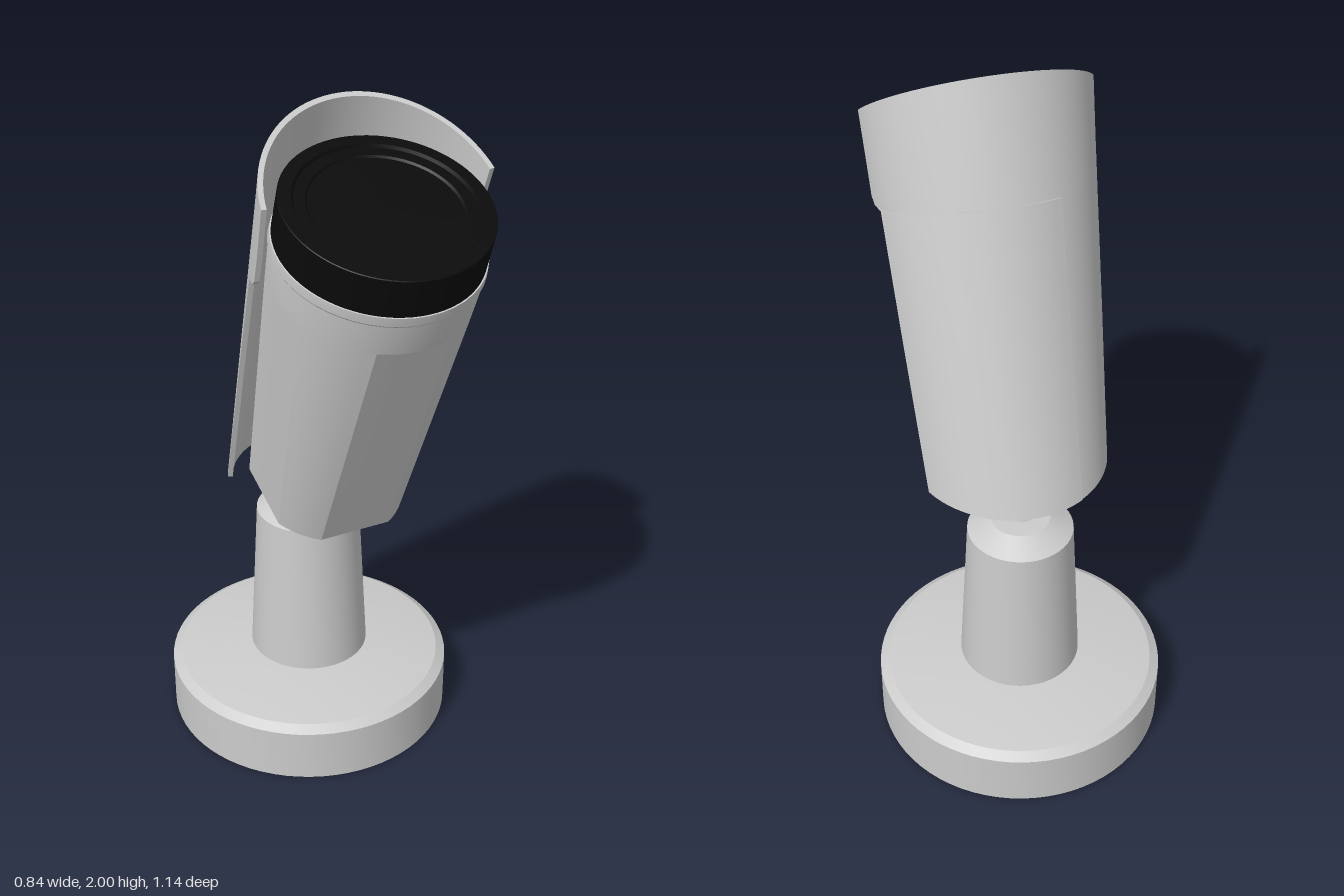
import * as THREE from 'three';
import { toCreasedNormals } from 'three/addons/utils/BufferGeometryUtils.js';

const grey = new THREE.MeshStandardMaterial({ color: 0xcccccc });
const black = new THREE.MeshStandardMaterial({ color: 0x0b0b0b });

function addMesh(parent, name, geometry, material = grey) {
  const mesh = new THREE.Mesh(toCreasedNormals(geometry, 0.3), material);
  mesh.name = name;
  parent.add(mesh);
  return mesh;
}

// Solid of revolution, profile listed from bottom to top
function lathe(profile, segments = 72) {
  return new THREE.LatheGeometry(profile.map(([r, y]) => new THREE.Vector2(r, y)), segments);
}

// Closed loops (counter-clockwise from above) joined from top to bottom, capped at both ends
function loft(rings) {
  const n = rings[0].length;
  const last = (rings.length - 1) * n;
  const index = [];
  for (let r = 0; r < rings.length - 1; r++) {
    for (let i = 0; i < n; i++) {
      const j = (i + 1) % n;
      const a = r * n + i, d = r * n + j;
      index.push(a, a + n, d + n, a, d + n, d);
    }
  }
  for (let i = 0; i < n / 2 - 1; i++) {
    const a = i, b = i + 1, c = n - 2 - i, d = n - 1 - i;
    index.push(a, b, c, a, c, d);
    index.push(last + a, last + c, last + b, last + a, last + d, last + c);
  }
  const geometry = new THREE.BufferGeometry();
  geometry.setAttribute('position', new THREE.Float32BufferAttribute(rings.flat(2), 3));
  geometry.setIndex(index);
  return geometry;
}

// Round housing section, with the four sides optionally cut flat
function housingRing(s, radius, flat) {
  const points = [];
  const half = Math.asin(0.105 / radius);
  const chord = radius * Math.cos(half);
  for (let q = 0; q < 4; q++) {
    const mid = q * Math.PI / 2;
    for (let i = 0; i < 6; i++) {
      const a = -half + (2 * half * i) / 6;
      const r = flat ? chord / Math.cos(a) : radius;
      points.push([r * Math.sin(mid + a), -s, r * Math.cos(mid + a)]);
    }
    for (let i = 0; i < 6; i++) {
      const a = mid + half + ((Math.PI / 2 - 2 * half) * i) / 6;
      points.push([radius * Math.sin(a), -s, radius * Math.cos(a)]);
    }
  }
  return points;
}

// Curved sheet behind the housing; each row gives s(z), its half angle and its radii
function shell(rows, steps) {
  return loft(rows.map(({ s, half, outer, inner }) => {
    const point = (radius, i) => {
      const a = half * (1 - (2 * i) / steps);
      const z = -radius * Math.cos(a);
      return [radius * Math.sin(a), -s(z), z];
    };
    const ring = [];
    for (let i = 0; i <= steps; i++) ring.push(point(outer, i));
    for (let i = steps; i >= 0; i--) ring.push(point(inner, i));
    return ring;
  }));
}

export function createModel() {
  const model = new THREE.Group();
  model.name = 'securityCamera';

  // Round foot and tapered post
  const stand = new THREE.Group();
  stand.name = 'stand';
  stand.position.z = -0.148;
  model.add(stand);
  addMesh(stand, 'base', lathe([[0, 0], [0.422, 0], [0.422, 0.16], [0.395, 0.178], [0.175, 0.21], [0, 0.21]]));
  addMesh(stand, 'post', lathe([[0, 0.2], [0.177, 0.2], [0.152, 0.685], [0.085, 0.722], [0, 0.725]], 48));

  // Tilted head; the origin is the middle of the lens face and s runs down its axis
  const head = new THREE.Group();
  head.name = 'head';
  head.position.set(0, 1.8, 0.315);
  head.rotation.x = 0.34;
  model.add(head);

  // Housing with a rim and four flat sides
  addMesh(head, 'housing', loft([
    housingRing(0.115, 0.274, false),
    housingRing(0.14, 0.276, false),
    housingRing(0.145, 0.273, false),
    housingRing(0.24, 0.268, false),
    housingRing(0.242, 0.268, true),
    housingRing(1.02, 0.222, true),
  ]));

  // Dark lens cap with stepped rings
  addMesh(head, 'lensCap', lathe([
    [0, -0.12], [0.27, -0.12], [0.27, -0.002], [0.268, 0], [0.235, 0], [0.23, -0.008],
    [0.2, -0.008], [0.195, -0.013], [0, -0.013],
  ]), black);

  // Sun shield, wider at the top, sloping top edge and level bottom edge
  const radiusAt = (s) => 0.318 - 0.035 * s;
  const topCut = (z) => -0.017 + 0.291 * (z + 0.043);
  const bottomCut = (z) => 0.997 - 0.354 * z;
  const row = (level, edge, s = () => level) => {
    const outer = radiusAt(level);
    return { s, half: Math.acos(edge / outer), outer, inner: outer - 0.014 };
  };
  addMesh(head, 'sunShield', shell([
    row(-0.06, 0.043, topCut),
    row(0.12, 0.04),
    row(0.21, 0.04),
    row(0.232, 0.055),
    row(0.245, 0.088),
    row(0.6, 0.097),
    row(1.06, 0.108, bottomCut),
  ], 48));

  // Slightly raised plate on the back of the shield
  const plateRow = (level, rise, s = () => level) => {
    const outer = radiusAt(level) + rise;
    return { s, half: Math.asin(0.138 / outer), outer, inner: outer - rise - 0.006 };
  };
  addMesh(head, 'backPlate', shell([
    plateRow(0.235, 0.008),
    plateRow(1.06, 0.002, bottomCut),
  ], 16));

  // Swivel collar and pin joining the head to the post
  const swivel = new THREE.Group();
  swivel.name = 'swivel';
  swivel.position.z = -0.035;
  head.add(swivel);
  addMesh(swivel, 'collar', lathe([[0, -1.13], [0.094, -1.13], [0.104, -1.118], [0.104, -1.0], [0, -1.0]], 40));
  addMesh(swivel, 'pin', lathe([[0, -1.2], [0.07, -1.2], [0.07, -1.12], [0, -1.12]], 32));

  return model;
}
